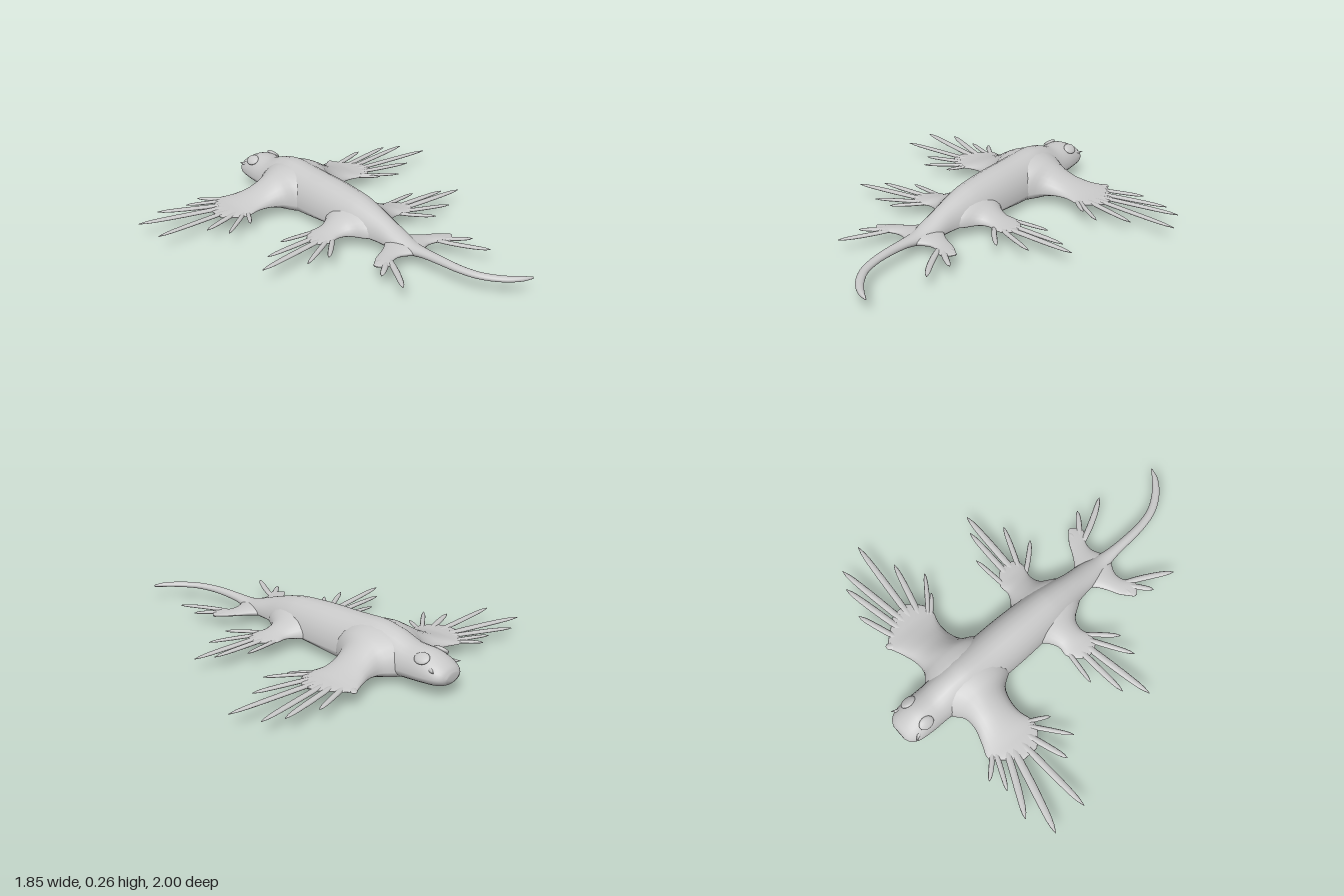
import * as THREE from 'three';

const CX = -0.03; // body midline
const MID = 0.078; // height of the flat limbs

const skin = new THREE.MeshStandardMaterial({ color: 0xc9c9c9 });
skin.name = 'grey skin';

// Smooth loft. Rows: [x, z, halfWidth, top, bottom, mid?]; dir fixes the travel direction if given.
function loft(name, rows, { steps = 24, sides = 16, dir = null } = {}) {
  const path = new THREE.CatmullRomCurve3(rows.map(r => new THREE.Vector3(r[0], r[2], r[1])));
  const heights = new THREE.CatmullRomCurve3(rows.map(r => new THREE.Vector3(r[3], r[4], r[5] ?? MID)));
  const pos = [], index = [];
  for (let i = 0; i <= steps; i++) {
    const t = i / steps;
    const p = path.getPoint(t), h = heights.getPoint(t);
    const d = dir ? dir.clone() : path.getTangent(t).setY(0).normalize();
    const hw = Math.max(p.y, 0.002);
    for (let j = 0; j < sides; j++) {
      const a = (j / sides) * Math.PI * 2;
      const w = Math.cos(a) * hw, s = Math.sin(a);
      const y = h.z + s * (s > 0 ? Math.max(h.x - h.z, 0.002) : Math.max(h.z - h.y, 0.002));
      pos.push(p.x + d.z * w, y, p.z - d.x * w);
    }
  }
  const id = (i, j) => i * sides + (j % sides);
  for (let i = 0; i < steps; i++) {
    for (let j = 0; j < sides; j++) {
      index.push(id(i, j), id(i, j + 1), id(i + 1, j));
      index.push(id(i, j + 1), id(i + 1, j + 1), id(i + 1, j));
    }
  }
  // end caps
  for (let j = 1; j < sides - 1; j++) {
    index.push(id(0, 0), id(0, j + 1), id(0, j));
    index.push(id(steps, 0), id(steps, j), id(steps, j + 1));
  }
  const geo = new THREE.BufferGeometry();
  geo.setAttribute('position', new THREE.Float32BufferAttribute(pos, 3));
  geo.setIndex(index);
  geo.computeVertexNormals();
  const mesh = new THREE.Mesh(geo, skin);
  mesh.name = name;
  return mesh;
}

// Palm rows: [offset from midline, front z, back z, top, bottom]
const palms = {
  front: [
    [0, -0.80, -0.28, 0.25, 0.008], [0.06, -0.78, -0.31, 0.245, 0.01], [0.12, -0.735, -0.36, 0.225, 0.02],
    [0.17, -0.70, -0.435, 0.195, 0.035], [0.24, -0.70, -0.465, 0.15, 0.055], [0.32, -0.725, -0.47, 0.115, 0.066],
    [0.40, -0.75, -0.45, 0.092, 0.069], [0.46, -0.69, -0.47, 0.086, 0.07], [0.52, -0.62, -0.53, 0.082, 0.072],
  ],
  middle: [
    [0, -0.24, 0.22, 0.20, 0.045], [0.08, -0.20, 0.17, 0.175, 0.05], [0.14, -0.125, 0.085, 0.14, 0.057],
    [0.20, -0.09, 0.065, 0.112, 0.065], [0.26, -0.092, 0.08, 0.094, 0.069], [0.31, -0.06, 0.07, 0.086, 0.07],
    [0.34, -0.02, 0.03, 0.082, 0.072],
  ],
  hind: [
    [0, 0.22, 0.47, 0.11, 0.045], [0.05, 0.25, 0.435, 0.105, 0.05], [0.10, 0.295, 0.415, 0.098, 0.056],
    [0.15, 0.325, 0.425, 0.092, 0.062], [0.20, 0.35, 0.46, 0.088, 0.066], [0.23, 0.375, 0.45, 0.085, 0.07],
    [0.26, 0.40, 0.42, 0.082, 0.073],
  ],
};

// Fingers: [base x, base z, tip x, tip z, half width]
const fingers = {
  frontLeft: [
    [0.34, -0.71, 0.38, -0.76, 0.02], [0.36, -0.68, 0.605, -0.76, 0.016], [0.40, -0.64, 0.77, -0.715, 0.018],
    [0.42, -0.60, 0.865, -0.665, 0.018], [0.42, -0.56, 0.92, -0.515, 0.018], [0.39, -0.52, 0.71, -0.435, 0.017],
    [0.36, -0.49, 0.56, -0.345, 0.013], [0.35, -0.48, 0.45, -0.39, 0.012],
  ],
  frontRight: [
    [-0.40, -0.70, -0.515, -0.82, 0.014], [-0.40, -0.69, -0.61, -0.785, 0.014], [-0.45, -0.65, -0.775, -0.81, 0.019],
    [-0.46, -0.62, -0.925, -0.745, 0.021], [-0.46, -0.57, -0.92, -0.55, 0.018], [-0.44, -0.53, -0.69, -0.45, 0.017],
    [-0.42, -0.50, -0.625, -0.345, 0.013], [-0.41, -0.49, -0.475, -0.37, 0.012],
  ],
  middleLeft: [
    [0.20, -0.07, 0.43, -0.09, 0.013], [0.22, -0.02, 0.575, -0.01, 0.017], [0.24, 0.02, 0.66, 0.04, 0.019],
    [0.22, 0.04, 0.48, 0.15, 0.015], [0.20, 0.06, 0.325, 0.205, 0.014],
  ],
  middleRight: [
    [-0.27, -0.07, -0.48, -0.095, 0.013], [-0.28, -0.02, -0.625, -0.005, 0.017], [-0.30, 0.02, -0.725, 0.09, 0.019],
    [-0.28, 0.04, -0.52, 0.18, 0.015], [-0.27, 0.06, -0.40, 0.195, 0.014],
  ],
  hindLeft: [
    [0.13, 0.42, 0.26, 0.66, 0.017], [0.15, 0.41, 0.28, 0.515, 0.016], [0.14, 0.39, 0.215, 0.395, 0.015],
  ],
  hindRight: [
    [-0.20, 0.42, -0.33, 0.655, 0.017], [-0.21, 0.41, -0.33, 0.505, 0.016], [-0.20, 0.39, -0.275, 0.40, 0.015],
  ],
};

// Flat leaf-shaped finger with a slight bend
function finger([x0, z0, x1, z1, w]) {
  const bend = 0.03 * Math.sign(x0);
  const rows = [[0, 0.9], [0.3, 1], [0.65, 0.95], [0.9, 0.65], [1, 0.1]].map(([t, k]) => {
    const b = bend * 4 * t * (1 - t) * (z1 - z0);
    return [x0 + (x1 - x0) * t - b, z0 + (z1 - z0) * t + b * 0.5, w * k,
      MID + 0.01 * k, MID - 0.007 * k];
  });
  return loft('finger', rows, { steps: 9, sides: 8 });
}

function limb(kind, side) {
  const group = new THREE.Group();
  const label = side > 0 ? 'Left' : 'Right';
  group.name = kind + label + 'Limb';
  const rows = palms[kind].map(([o, f, b, top, bottom]) =>
    [CX + side * o, (f + b) / 2, (b - f) / 2, top, bottom]);
  group.add(loft('palm', rows, { steps: 24, sides: 24, dir: new THREE.Vector3(side, 0, 0) }));
  fingers[kind + label].forEach(f => group.add(finger(f)));
  return group;
}

export function createModel() {
  const model = new THREE.Group();
  model.name = 'seaSlug';

  // head, trunk and curled tail in one sweep
  model.add(loft('bodyAndTail', [
    [CX, -1.0, 0.045, 0.125, 0.085, 0.105], [CX, -0.985, 0.075, 0.15, 0.065, 0.105],
    [CX, -0.95, 0.098, 0.175, 0.053, 0.105], [CX, -0.87, 0.108, 0.208, 0.045, 0.10],
    [CX, -0.77, 0.108, 0.212, 0.035, 0.095], [CX, -0.66, 0.115, 0.25, 0.018, 0.09],
    [CX, -0.55, 0.13, 0.266, 0.005, 0.085], [CX, -0.40, 0.132, 0.257, 0.005, 0.08],
    [CX, -0.20, 0.13, 0.25, 0.028, 0.08], [CX, 0, 0.115, 0.233, 0.045, 0.08],
    [CX, 0.10, 0.098, 0.21, 0.05, 0.08], [CX, 0.20, 0.078, 0.178, 0.05, 0.08],
    [CX, 0.30, 0.068, 0.142, 0.046, 0.08], [CX, 0.40, 0.046, 0.114, 0.05, 0.08],
    [CX, 0.50, 0.030, 0.112, 0.066, 0.088], [-0.027, 0.62, 0.025, 0.112, 0.073, 0.09],
    [-0.018, 0.72, 0.023, 0.108, 0.073, 0.09], [0.01, 0.82, 0.022, 0.105, 0.073, 0.088],
    [0.07, 0.91, 0.021, 0.102, 0.073, 0.087], [0.14, 0.97, 0.015, 0.10, 0.075, 0.087],
    [0.19, 0.995, 0.004, 0.092, 0.08, 0.086],
  ], { steps: 80, sides: 24 }));

  for (const side of [1, -1]) {
    for (const kind of ['front', 'middle', 'hind']) model.add(limb(kind, side));

    // raised eye pad
    const eye = new THREE.Mesh(new THREE.SphereGeometry(1, 16, 10), skin);
    eye.name = 'eyePad';
    eye.scale.set(0.034, 0.014, 0.042);
    eye.position.set(CX + side * 0.072, 0.182, -0.87);
    eye.rotation.z = -side * 0.65;
    model.add(eye);

    // small pointed feeler at the front corner of the head
    const feeler = new THREE.Mesh(new THREE.ConeGeometry(0.024, 0.085, 10), skin);
    feeler.name = 'feeler';
    feeler.position.set(CX + side * 0.08, 0.142, -0.93);
    feeler.quaternion.setFromUnitVectors(
      new THREE.Vector3(0, 1, 0), new THREE.Vector3(side * 0.55, 0.05, -0.8).normalize());
    model.add(feeler);
  }
  return model;
}
